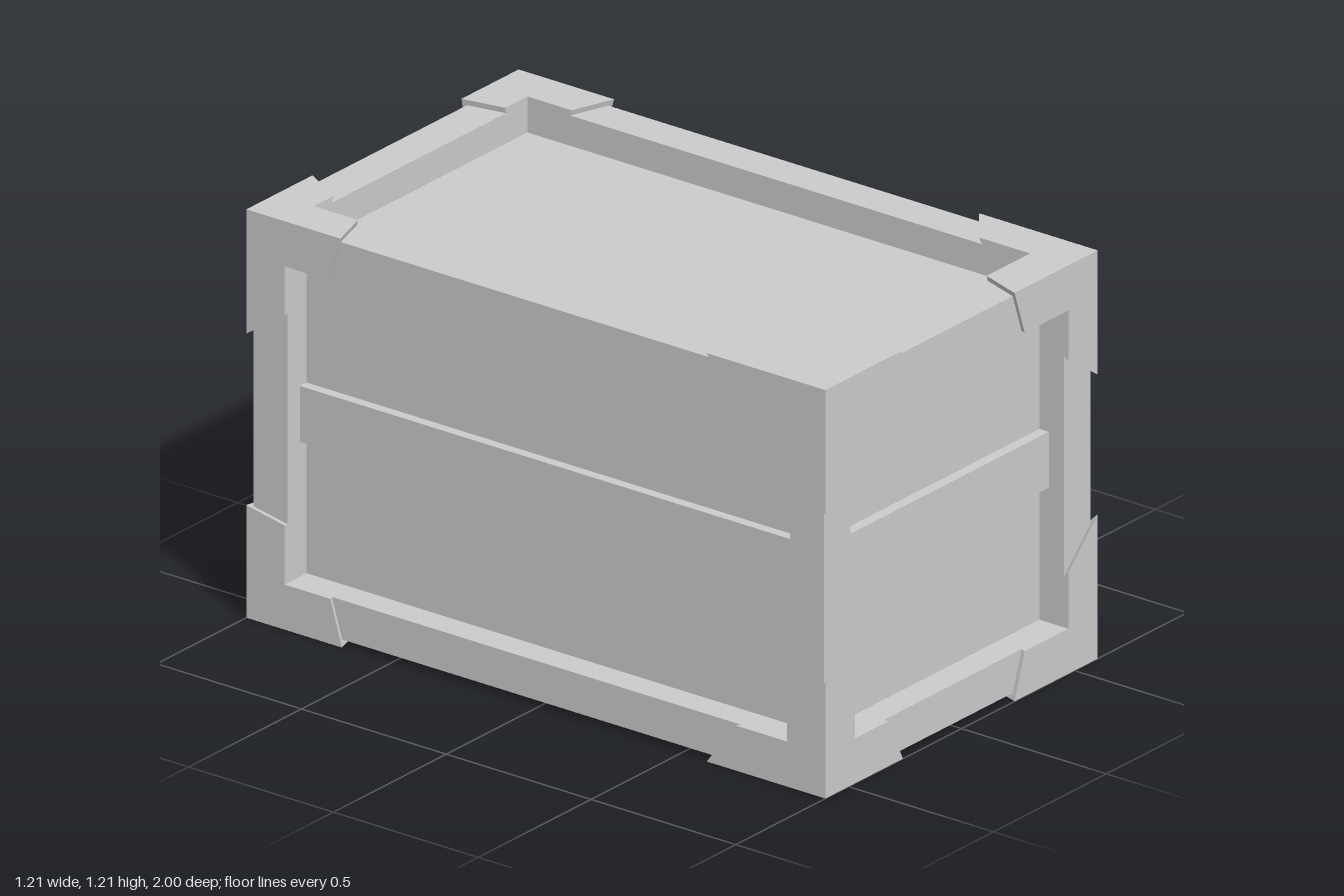
import * as THREE from 'three';
import { ConvexGeometry } from 'three/addons/geometries/ConvexGeometry.js';

const CENTER_Y = 0.607;
const BRACE = [0.603, 0.607, 1.0];     // half sizes at the outside of the corner braces
const FRAME = [0.59, 0.59, 0.985];     // half sizes of the beam frame
const OPENING = [0.473, 0.473, 0.868]; // half sizes of the openings
const PANEL = [0.505, 0.5, 0.9];       // half sizes of the recessed body

// Per corner: signs, then for the x, y and z arm the absolute coordinates of its end:
// [at the outer edge, at the inner edge of one face, at the inner edge of the other face].
// Face order: x arm = front/back, top/bottom; y arm = front/back, side; z arm = side, top/bottom.
const CORNERS = [
  [1, 1, 1, [0.235, 0.28, 0.28], [0.845, 0.93, 0.93], [0.59, 0.69, 0.69]],
  [1, -1, 1, [0.235, 0.28, 0.28], [0.43, 0.3, 0.3], [0.59, 0.69, 0.69]],
  [-1, 1, 1, [-0.265, -0.32, -0.32], [0.845, 0.93, 0.93], [0.59, 0.69, 0.69]],
  [-1, -1, 1, [-0.26, -0.32, -0.32], [0.345, 0.255, 0.255], [0.59, 0.69, 0.69]],
  [1, 1, -1, [0.35, 0.375, 0.375], [0.95, 1.0, 1.0], [-0.67, -0.71, -0.715]],
  [1, -1, -1, [0.26, 0.3, 0.3], [0.37, 0.295, 0.295], [-0.67, -0.71, -0.71]],
  [-1, 1, -1, [-0.31, -0.385, -0.385], [0.845, 0.93, 0.93], [-0.675, -0.715, -0.715]],
  [-1, -1, -1, [-0.24, -0.3, -0.3], [0.335, 0.32, 0.31], [-0.67, -0.71, -0.71]],
];

export function createModel() {
  const group = new THREE.Group();
  group.name = 'crate';
  const material = new THREE.MeshStandardMaterial({ color: 0xcccccc, flatShading: true });

  const add = (name, geometry, parent = group) => {
    const mesh = new THREE.Mesh(geometry, material);
    mesh.name = name;
    parent.add(mesh);
    return mesh;
  };
  const addBox = (name, size, center, parent) =>
    add(name, new THREE.BoxGeometry(...size), parent).position.set(...center);

  // Recessed panels, and the band running around the sides
  addBox('panels', PANEL.map((h) => h * 2), [0, CENTER_Y, 0]);
  addBox('sideBand', [1.07, 0.166, 1.865], [0, 0.618, 0]);

  // Twelve square beams, four along each axis
  const frame = new THREE.Group();
  frame.name = 'frame';
  group.add(frame);
  for (let axis = 0; axis < 3; axis++) {
    const u = (axis + 1) % 3, v = (axis + 2) % 3;
    for (const su of [-1, 1]) for (const sv of [-1, 1]) {
      const size = [], center = [];
      size[axis] = FRAME[axis] * 2;
      center[axis] = 0;
      for (const [k, s] of [[u, su], [v, sv]]) {
        size[k] = FRAME[k] - OPENING[k];
        center[k] = s * (FRAME[k] + OPENING[k]) / 2;
      }
      center[1] += CENTER_Y;
      addBox('beam', size, center, frame);
    }
  }

  // Corner braces: a block with three arms, each cut at a slant
  for (const [sx, sy, sz, ...arms] of CORNERS) {
    const signs = [sx, sy, sz];
    const outer = signs.map((s, k) => s * BRACE[k]);
    const inner = signs.map((s, k) => s * OPENING[k]);
    const brace = new THREE.Group();
    brace.name = 'cornerBrace';
    brace.position.y = CENTER_Y;
    group.add(brace);

    addBox('braceBlock', BRACE.map((b, k) => b - OPENING[k]),
      outer.map((o, k) => (o + inner[k]) / 2), brace);

    arms.forEach((ends, axis) => {
      // u is the axis towards the inner edge of the first listed face
      const u = [1, 0, 1][axis], v = [2, 2, 0][axis];
      const shift = axis === 1 ? CENTER_Y : 0;
      const [edge, first, second] = ends.map((e) => e - shift);
      const points = [];
      const corner = (a, pu, pv) => {
        const p = [];
        p[axis] = a;
        p[u] = pu;
        p[v] = pv;
        points.push(new THREE.Vector3(...p));
      };
      for (const [end, pu, pv] of [
        [edge, outer[u], outer[v]],
        [first, inner[u], outer[v]],
        [second, outer[u], inner[v]],
        [first + second - edge, inner[u], inner[v]],
      ]) {
        corner(inner[axis], pu, pv);
        corner(end, pu, pv);
      }
      add('braceArm', new ConvexGeometry(points), brace);
    });
  }
  return group;
}
